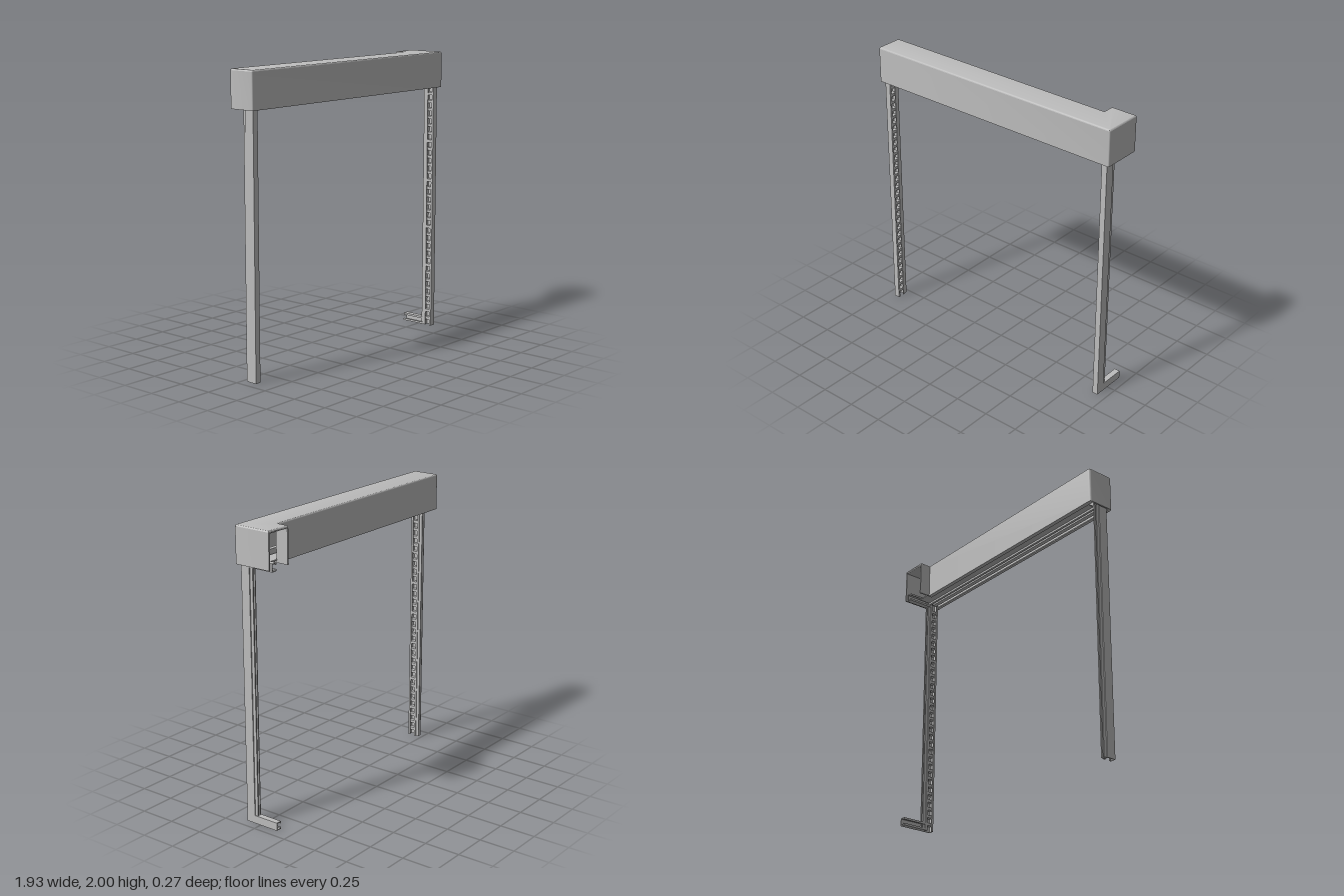
import * as THREE from 'three';
import { toCreasedNormals } from 'three/addons/utils/BufferGeometryUtils.js';

// Outline from [a, b, radius] points, with softened corners where a radius is given
function outline(points) {
  const shape = new THREE.Shape();
  const v = points.map((p) => new THREE.Vector2(p[0], p[1]));
  const n = v.length;
  const toward = (a, b, d) => a.clone().add(b.clone().sub(a).setLength(d));
  for (let i = 0; i < n; i++) {
    const r = points[i][2] || 0;
    const a = r ? toward(v[i], v[(i + n - 1) % n], r) : v[i];
    if (i === 0) shape.moveTo(a.x, a.y); else shape.lineTo(a.x, a.y);
    if (r) {
      const b = toward(v[i], v[(i + 1) % n], r);
      shape.quadraticCurveTo(v[i].x, v[i].y, b.x, b.y);
    }
  }
  shape.closePath();
  return shape;
}

// Upright prism from an [x, z] plan
function upright(plan, y0, height, extra = {}) {
  const shape = outline(plan.map(([x, z, r]) => [x, -z, r]));
  const g = new THREE.ExtrudeGeometry(shape, { depth: height, bevelEnabled: false, curveSegments: 4, ...extra });
  g.rotateX(-Math.PI / 2).translate(0, y0, 0);
  return toCreasedNormals(g, 0.6);
}

export function createModel() {
  const model = new THREE.Group();
  const metal = new THREE.MeshStandardMaterial({ color: 0xbdbdbd });
  metal.name = 'grey metal';

  const add = (name, geometry, parent = model) => {
    const mesh = new THREE.Mesh(geometry, metal);
    mesh.name = name;
    parent.add(mesh);
    return mesh;
  };
  const box = (name, x0, x1, y0, y1, z0, z1, parent) => {
    const g = new THREE.BoxGeometry(x1 - x0, y1 - y0, z1 - z0);
    g.translate((x0 + x1) / 2, (y0 + y1) / 2, (z0 + z1) / 2);
    return add(name, g, parent);
  };

  // Housing: thin walls, L-shaped in plan, open at the back of the short arm
  const X = 0.966, F = 0.135, B = -0.058, E = -0.138, S = 0.78, T = 0.01, R = 0.014;
  add('housingWalls', upright([
    [S, E], [S, B], [-X, B, R], [-X, F, R], [X, F, R], [X, E],
    [X - T, E], [X - T, F - T], [-X + T, F - T], [-X + T, B + T], [S + T, B + T], [S + T, E],
  ], 1.75, 0.24));

  // Roof with softened rim
  const b = 0.01;
  add('housingRoof', upright([
    [S + b, E + b], [S + b, B + b], [-X + b, B + b, 0.006], [-X + b, F - b, 0.006],
    [X - b, F - b, 0.006], [X - b, E + b],
  ], 1.989, 0.001, { bevelEnabled: true, bevelSize: b, bevelThickness: b, bevelSegments: 3 }));

  // Underside: lips, floor and lengthwise rails
  box('frontLip', -X + T, X - T, 1.75, 1.758, 0.112, F - 0.005);
  box('backLip', -X + T, S + T, 1.75, 1.758, B + 0.005, B + 0.03);
  box('housingFloor', -0.9, 0.9, 1.764, 1.772, B + 0.005, 0.05);
  box('bottomSlat', -0.9, 0.9, 1.756, 1.80, 0.066, 0.096);
  box('floorRail', -0.9, 0.9, 1.75, 1.77, 0.03, 0.045);

  // Posts: inward-facing channel with a grooved strip behind it
  const I = 0.898, O = 0.938;
  const profile = [
    [I, 0.112], [O, 0.112], [O, 0.047], [O - 0.006, 0.047], [O - 0.006, 0.025],
    [O - 0.014, 0.025], [O - 0.014, 0.044], [I + 0.014, 0.044], [I + 0.014, 0.025],
    [I + 0.006, 0.025], [I + 0.006, 0.047], [I, 0.047], [I, 0.062], [I + 0.006, 0.062],
    [I + 0.006, 0.053], [O - 0.006, 0.053], [O - 0.006, 0.106], [I + 0.006, 0.106],
    [I + 0.006, 0.098], [I, 0.098],
  ];
  for (const side of [1, -1]) {
    const post = new THREE.Group();
    post.name = side > 0 ? 'leftPost' : 'rightPost';
    model.add(post);
    add('channel', upright(profile.map(([x, z]) => [x * side, z]), 0, 1.79), post);
    // Rungs inside the channel
    for (let y = 0.04; y < 1.74; y += 0.057) {
      const xs = [side * (I + 0.005), side * (O - 0.005)].sort((p, q) => p - q);
      box('rung', xs[0], xs[1], y, y + 0.02, 0.054, 0.105, post);
    }
  }

  // Rails running back from the left post, at the floor and at the housing
  const rail = (name, y0) => {
    const h = 0.055, t = 0.006, l = 0.014;
    const g = new THREE.ExtrudeGeometry(outline([
      [I, y0], [O, y0], [O, y0 + h], [I, y0 + h], [I, y0 + h - l], [I + t, y0 + h - l],
      [I + t, y0 + h - t], [O - t, y0 + h - t], [O - t, y0 + t], [I + t, y0 + t],
      [I + t, y0 + l], [I, y0 + l],
    ]), { depth: 0.185, bevelEnabled: false });
    g.translate(0, 0, E);
    add(name, g);
  };
  rail('footRail', 0);
  rail('topRail', 1.736);

  return model;
}
